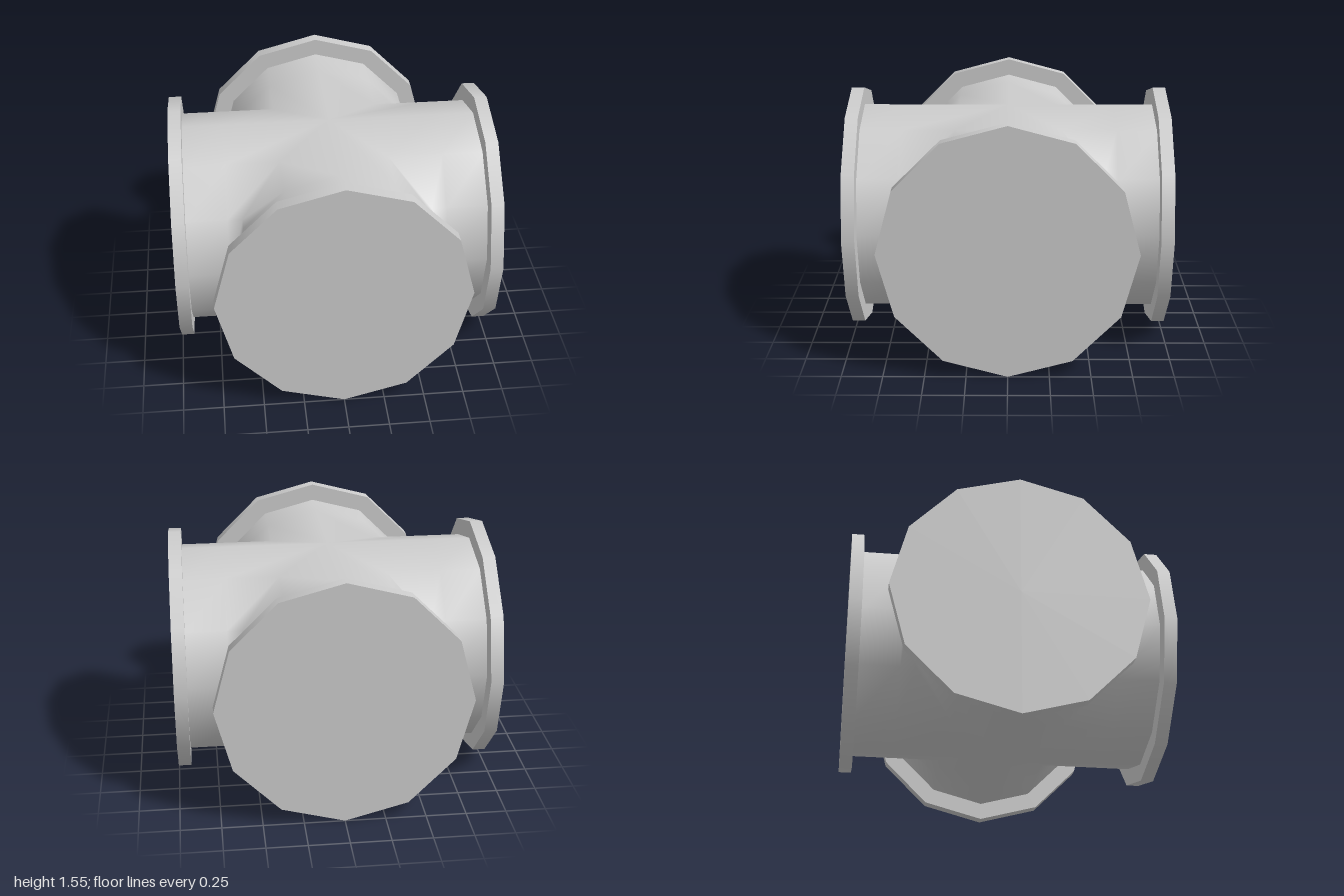
import * as THREE from 'three';
import { mergeVertices } from 'three/addons/utils/BufferGeometryUtils.js';

const SIDES = 12;
const PIPE_R = 0.665;
const FLANGE_R = 0.775;
const FLANGE_T = 0.08;
const CENTER_Y = FLANGE_R;

// One arm along +x: rings from the groin (x = |z|) out to the flange
function armPoint(ring, i) {
  const a = (i % SIDES) / SIDES * Math.PI * 2;
  const y = PIPE_R * Math.cos(a);
  let z = PIPE_R * Math.sin(a);
  if (ring === 0) {
    z = THREE.MathUtils.clamp(z, -0.635, 0.635); // slightly tucked inner corner
    return [Math.abs(z), y, z];
  }
  return [ring === 1 ? 0.67 : 1 - FLANGE_T, y, z];
}

// Four arms welded into one smooth crossing
function crossGeometry() {
  const positions = [];
  for (let arm = 0; arm < 4; arm++) {
    const put = (ring, i) => {
      let [x, y, z] = armPoint(ring, i);
      for (let k = 0; k < arm; k++) [x, z] = [z, -x];
      positions.push(x, y, z);
    };
    for (let ring = 0; ring < 2; ring++) {
      for (let i = 0; i < SIDES; i++) {
        put(ring, i); put(ring, i + 1); put(ring + 1, i);
        put(ring, i + 1); put(ring + 1, i + 1); put(ring + 1, i);
      }
    }
  }
  const raw = new THREE.BufferGeometry();
  raw.setAttribute('position', new THREE.Float32BufferAttribute(positions, 3));
  const geometry = mergeVertices(raw, 1e-3);
  geometry.computeVertexNormals();
  return geometry;
}

export function createModel() {
  const model = new THREE.Group();
  model.name = 'pipeCross';
  const material = new THREE.MeshStandardMaterial({ color: 0xcccccc });

  // Crossing pipes
  const pipes = new THREE.Mesh(crossGeometry(), material);
  pipes.name = 'pipes';
  pipes.position.y = CENTER_Y;
  model.add(pipes);

  // Closed flange on each of the four ends
  const flangeGeometry = new THREE.CylinderGeometry(FLANGE_R, FLANGE_R, FLANGE_T, SIDES);
  flangeGeometry.rotateX(Math.PI / 2);
  flangeGeometry.translate(0, 0, 1 - FLANGE_T / 2);
  ['frontFlange', 'leftFlange', 'backFlange', 'rightFlange'].forEach((name, i) => {
    const flange = new THREE.Mesh(flangeGeometry, material);
    flange.name = name;
    flange.position.y = CENTER_Y;
    flange.rotation.y = i * Math.PI / 2;
    model.add(flange);
  });

  return model;
}
